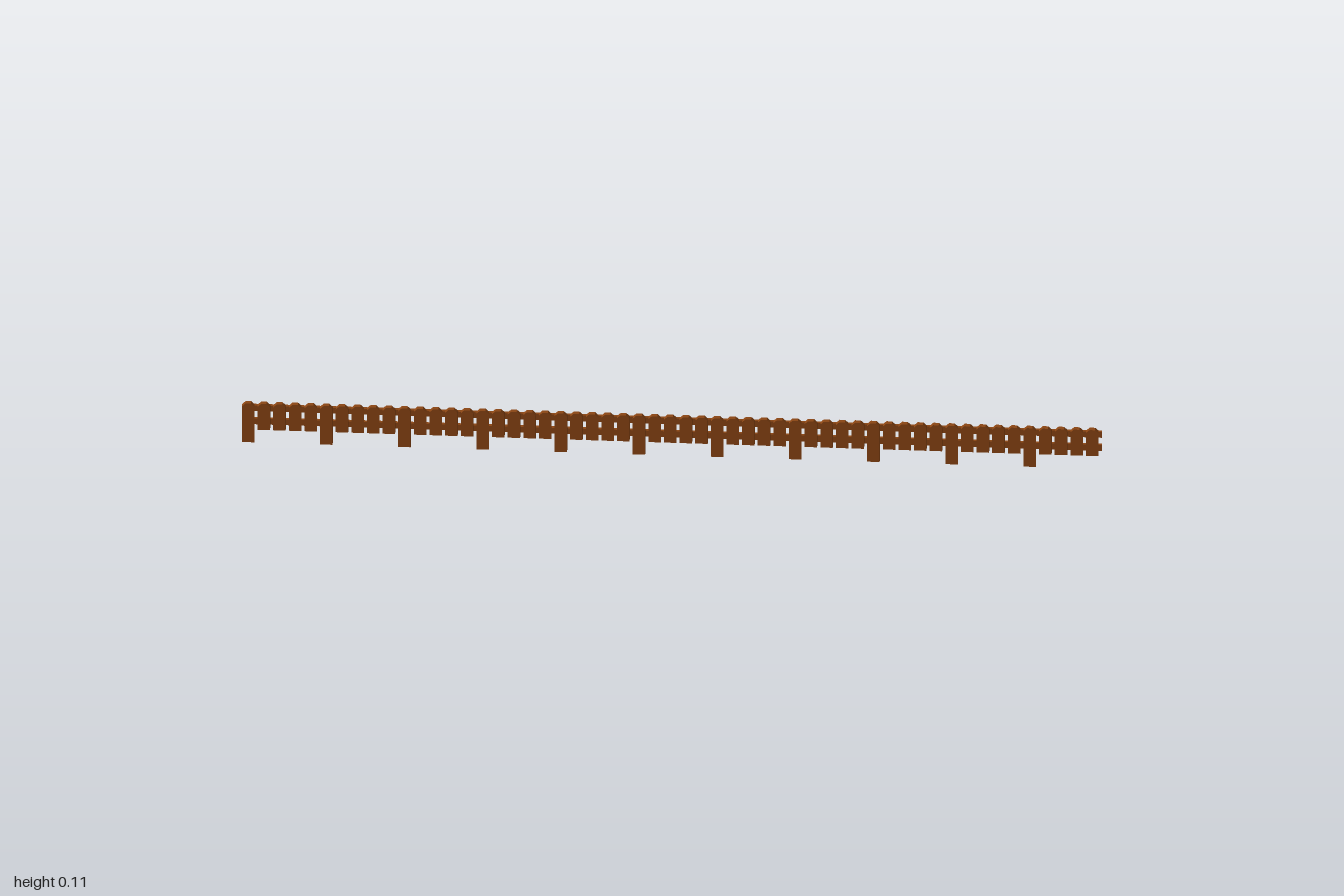
import * as THREE from 'three';

const WOOD = 0x8b4513;
const SECTIONS = 11, PER_SECTION = 5;
const PITCH = 2 / (SECTIONS * PER_SECTION);
const WIDTH = 0.029, TOP = 0.106, CHAMFER = 0.008;
const BACK = -0.002, FRONT = 0.009;

// Upright board with clipped top corners, left edge at x = 0
function boardGeometry(bottom) {
  const s = new THREE.Shape();
  s.moveTo(0, bottom);
  s.lineTo(WIDTH, bottom);
  s.lineTo(WIDTH, TOP - CHAMFER);
  s.lineTo(WIDTH - CHAMFER, TOP);
  s.lineTo(CHAMFER, TOP);
  s.lineTo(0, TOP - CHAMFER);
  s.closePath();
  const g = new THREE.ExtrudeGeometry(s, { depth: FRONT - BACK, bevelEnabled: false });
  return g.translate(0, 0, BACK);
}

export function createModel() {
  const fence = new THREE.Group();
  fence.name = 'picketFence';
  const wood = new THREE.MeshStandardMaterial({ color: WOOD, flatShading: true });
  const add = (name, geometry, x, y, z) => {
    const mesh = new THREE.Mesh(geometry, wood);
    mesh.name = name;
    mesh.position.set(x, y, z);
    fence.add(mesh);
  };

  // Every fifth board reaches the ground as a post
  const post = boardGeometry(0);
  const picket = boardGeometry(0.035);
  for (let i = 0; i < SECTIONS * PER_SECTION; i++) {
    const isPost = i % PER_SECTION === 0;
    add(isPost ? 'post' : 'picket', isPost ? post : picket, -1 + i * PITCH, 0, 0);
  }

  // Two rails run along the back
  const rail = new THREE.BoxGeometry(2, 0.016, 0.007);
  add('lowerRail', rail, 0, 0.051, -0.0055);
  add('upperRail', rail, 0, 0.087, -0.0055);

  return fence;
}
